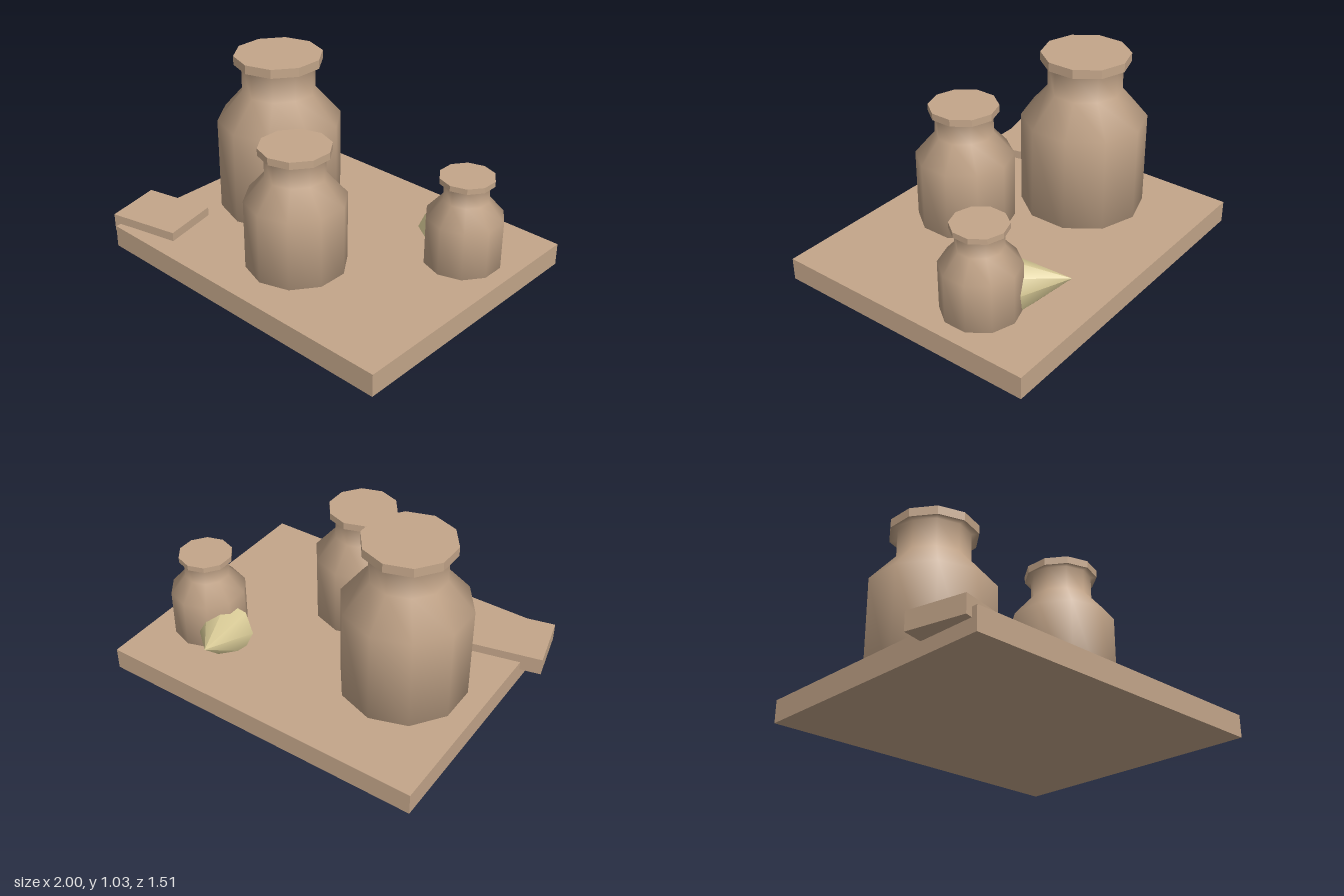
import * as THREE from 'three';

const clay = new THREE.MeshStandardMaterial({ color: 0xc4a68a });
clay.name = 'clay tan';
const straw = new THREE.MeshStandardMaterial({ color: 0xd8ca96 });
straw.name = 'pale straw';

function addMesh(parent, name, geometry, material, x = 0, y = 0, z = 0) {
  const mesh = new THREE.Mesh(geometry, material);
  mesh.name = name;
  mesh.position.set(x, y, z);
  parent.add(mesh);
  return mesh;
}

// Ten-sided jar: smooth lathed body, sharp-edged flat lid
function makeJar(name, x, z, scale) {
  const jar = new THREE.Group();
  jar.name = name;
  const profile = [
    [0, 0.004], [0.347, 0.004], [0.347, 0.658], [0.204, 0.822], [0.204, 0.98], [0.243, 0.981],
  ].map(([r, y]) => new THREE.Vector2(r, y));
  addMesh(jar, 'jarBody', new THREE.LatheGeometry(profile, 10), clay);

  const lid = new THREE.CylinderGeometry(0.245, 0.245, 0.05, 10).toNonIndexed();
  lid.computeVertexNormals();
  addMesh(jar, 'jarLid', lid, clay, 0, 1.006, 0);

  jar.position.set(x, 0, z);
  jar.scale.setScalar(scale);
  return jar;
}

export function createModel() {
  const model = new THREE.Group();
  model.name = 'jarsOnBoard';

  // Board
  addMesh(model, 'board', new THREE.BoxGeometry(1.885, 0.125, 1.515), clay, 0.0575, 0.0625, 0);

  // Three jars of the same shape
  model.add(
    makeJar('largeJar', -0.435, -0.085, 1),
    makeJar('mediumJar', 0.098, 0.327, 0.78),
    makeJar('smallJar', 0.711, -0.288, 0.6),
  );

  // Turned slab overhanging the front corner
  const slab = addMesh(model, 'slab', new THREE.BoxGeometry(0.405, 0.1, 0.325), clay, -0.765, 0.125, 0.53);
  slab.rotation.y = 0.23;

  // Cone lying behind the small jar, tip pointing backwards
  const cone = addMesh(model, 'fallenCone', new THREE.ConeGeometry(0.16, 0.33, 8), straw);
  const tip = new THREE.Vector3(0.45, 0.305, -0.642);
  const up = new THREE.Vector3(-0.33, 0.325, -0.885).normalize();
  const side = new THREE.Vector3(up.z, 0, -up.x).normalize();
  cone.quaternion.setFromRotationMatrix(
    new THREE.Matrix4().makeBasis(side, up, new THREE.Vector3().crossVectors(side, up)),
  );
  cone.position.copy(tip).addScaledVector(up, -0.165);

  return model;
}
